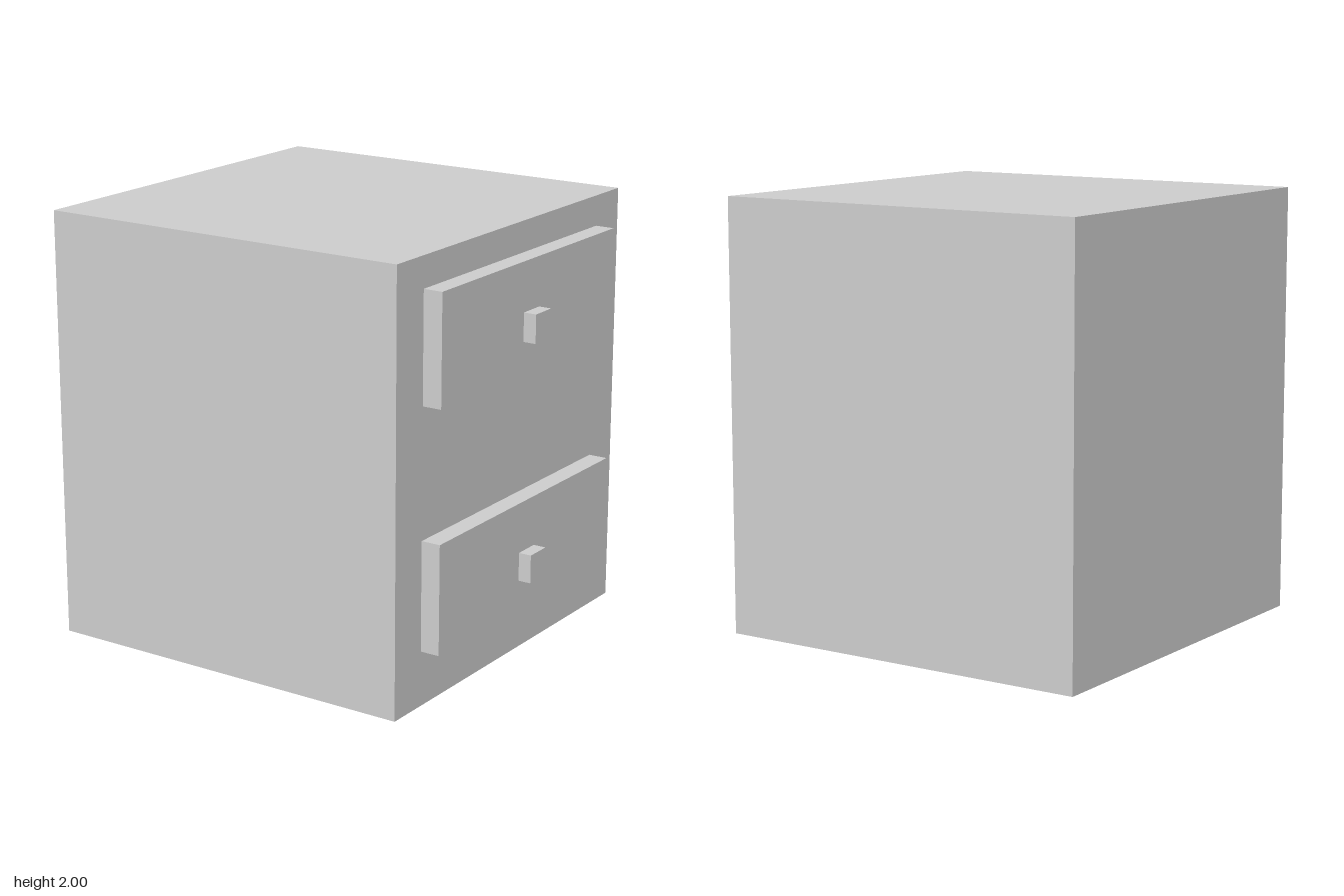
import * as THREE from 'three';

const material = new THREE.MeshStandardMaterial({ color: 0xcccccc, flatShading: true });

// Box spanning x0..x1 and y0..y1, centred on z = 0
function box(name, x0, x1, y0, y1, depth) {
  const mesh = new THREE.Mesh(new THREE.BoxGeometry(x1 - x0, y1 - y0, depth), material);
  mesh.position.set((x0 + x1) / 2, (y0 + y1) / 2, 0);
  mesh.name = name;
  return mesh;
}

// Drawer front with a square knob, on the +x side of the cabinet
function drawer(name, y) {
  const group = new THREE.Group();
  group.name = name;
  group.add(
    box('drawerFront', 0.836, 0.927, -0.252, 0.252, 1.446),
    box('knob', 0.927, 0.988, -0.049, 0.083, 0.128)
  );
  group.position.y = y;
  return group;
}

export function createModel() {
  const model = new THREE.Group();
  model.name = 'nightstand';
  model.add(
    box('cabinet', -0.988, 0.836, 0, 2, 1.848),
    drawer('upperDrawer', 1.606),
    drawer('lowerDrawer', 0.506)
  );
  // Upper knob sits slightly higher on its drawer
  model.getObjectByName('upperDrawer').getObjectByName('knob').position.y = -0.042;
  model.getObjectByName('lowerDrawer').getObjectByName('knob').position.y = -0.048;
  return model;
}
